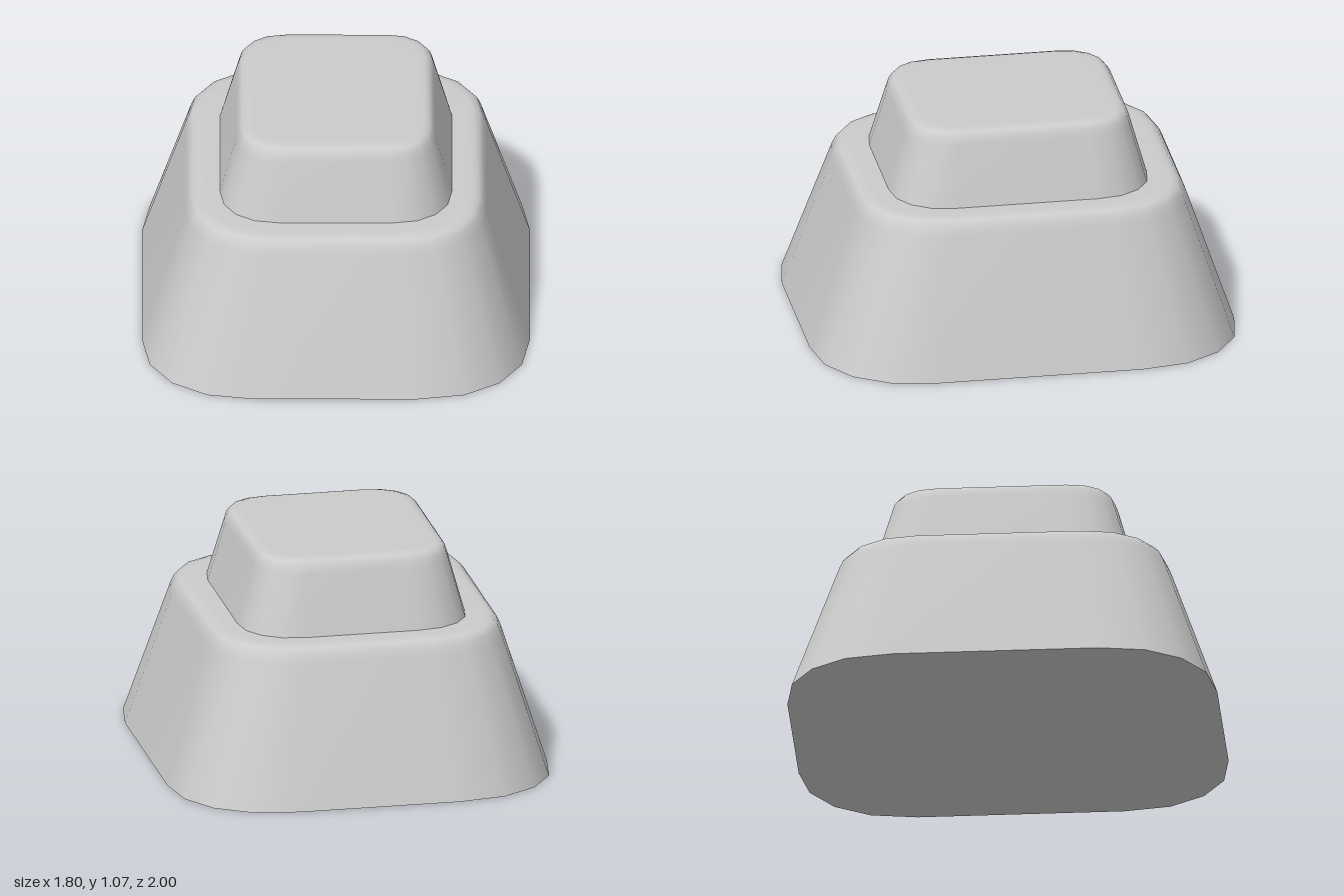
import * as THREE from 'three';

const STEPS = 4; // segments per rounded corner

// Rounded rectangle outline, slightly squarer than a circular corner
function outline([y, hx, hz, r]) {
  const points = [];
  for (let q = 0; q < 4; q++) {
    const sx = q === 0 || q === 3 ? 1 : -1;
    const sz = q < 2 ? 1 : -1;
    for (let i = 0; i <= STEPS; i++) {
      const k = q % 2 ? STEPS - i : i; // mirrored quadrants run backwards
      const a = (k / STEPS) * Math.PI / 2;
      const c = Math.pow(Math.max(0, Math.cos(a)), 0.91);
      const s = Math.pow(Math.max(0, Math.sin(a)), 0.91);
      points.push([sx * (hx - r + r * c), y, sz * (hz - r + r * s)]);
    }
  }
  return points;
}

// Loft through rows of [height, half width, half depth, corner radius], closed at both ends
function loft(rows) {
  const rings = rows.map(outline);
  const n = rings[0].length;
  const positions = rings.flat(2);
  const index = [];
  for (let j = 0; j < rings.length - 1; j++) {
    for (let i = 0; i < n; i++) {
      const a = j * n + i, b = j * n + (i + 1) % n;
      index.push(a, a + n, b, b, a + n, b + n);
    }
  }
  // Smooth top cap shares the last ring
  const last = (rings.length - 1) * n;
  const top = positions.length / 3;
  positions.push(0, rows[rows.length - 1][0], 0);
  // Sharp bottom cap has its own ring
  const bottom = top + 1;
  positions.push(0, rows[0][0], 0, ...rings[0].flat());
  for (let i = 0; i < n; i++) {
    const next = (i + 1) % n;
    index.push(top, last + next, last + i);
    index.push(bottom, bottom + 1 + i, bottom + 1 + next);
  }
  const geometry = new THREE.BufferGeometry();
  geometry.setAttribute('position', new THREE.Float32BufferAttribute(positions, 3));
  geometry.setIndex(index);
  geometry.computeVertexNormals();
  return geometry;
}

export function createModel() {
  const model = new THREE.Group();
  const material = new THREE.MeshStandardMaterial({ color: 0xcccccc });
  const add = (name, rows) => {
    const mesh = new THREE.Mesh(loft(rows), material);
    mesh.name = name;
    model.add(mesh);
  };

  // Wide tapered base with a softened top rim
  add('lowerTier', [
    [0, 0.9, 1, 0.52],
    [0.65, 0.7, 0.78, 0.4],
    [0.69, 0.683, 0.762, 0.385],
    [0.712, 0.664, 0.742, 0.365],
    [0.72, 0.635, 0.712, 0.34],
    [0.72, 0.6, 0.68, 0.31],
  ]);

  // Smaller tapered block standing on the base
  add('upperTier', [
    [0.72, 0.538, 0.608, 0.275],
    [1.0, 0.462, 0.53, 0.225],
    [1.035, 0.451, 0.518, 0.215],
    [1.057, 0.435, 0.5, 0.2],
    [1.065, 0.41, 0.475, 0.18],
    [1.065, 0.38, 0.445, 0.16],
  ]);

  return model;
}
